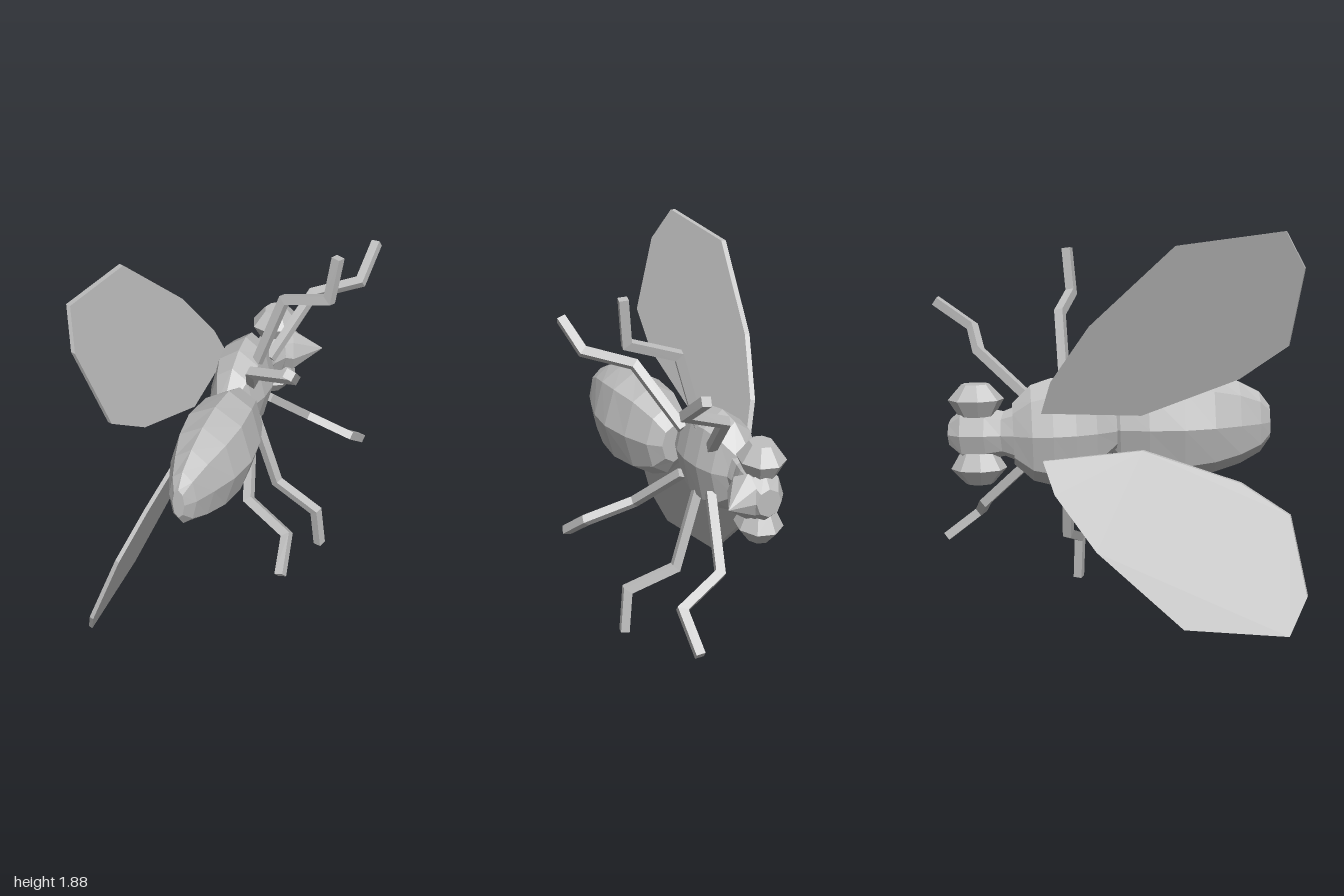
import * as THREE from 'three';

const grey = new THREE.MeshStandardMaterial({ color: 0xbfbfbf });
grey.name = 'grey';

const V = (x, y, z) => new THREE.Vector3(x, y, z);

// Skin a list of rings (arrays of points) with flat facets and closed ends
function loft(rings) {
  const pos = [];
  const tri = (...pts) => pts.forEach((p) => pos.push(p.x, p.y, p.z));
  const middle = (r) => r.reduce((s, p) => s.add(p), V(0, 0, 0)).divideScalar(r.length);
  const n = rings[0].length;
  const first = rings[0], last = rings[rings.length - 1];
  const c0 = middle(first), c1 = middle(last);
  for (let j = 0; j < n; j++) {
    const k = (j + 1) % n;
    for (let i = 0; i < rings.length - 1; i++) {
      const a = rings[i], b = rings[i + 1];
      tri(a[j], a[k], b[k]);
      tri(a[j], b[k], b[j]);
    }
    tri(c0, first[k], first[j]);
    tri(c1, last[j], last[k]);
  }
  const geo = new THREE.BufferGeometry();
  geo.setAttribute('position', new THREE.Float32BufferAttribute(pos, 3));
  geo.computeVertexNormals();
  return geo;
}

// Eight-sided body segment: profile rows are [distance, thickness radius, width radius]
function bodySegment(start, tilt, profile) {
  const along = V(Math.cos(tilt), 0, -Math.sin(tilt));
  const up = V(Math.sin(tilt), 0, Math.cos(tilt));
  return loft(profile.map(([s, thick, wide]) => {
    const ring = [];
    for (let j = 0; j < 8; j++) {
      const a = (j / 8) * Math.PI * 2;
      ring.push(start.clone().addScaledVector(along, s)
        .addScaledVector(up, thick * Math.sin(a))
        .add(V(0, wide * Math.cos(a), 0)));
    }
    return ring;
  }));
}

// Square-section leg along bent joints, mitred at each joint
function legGeometry(points, half) {
  const end = points.length - 1;
  const ref = points[end].clone().sub(points[0]).cross(V(0, 0, 1)).normalize();
  const dir = (i) => points[i + 1].clone().sub(points[i]).normalize();
  return loft(points.map((p, i) => {
    const before = dir(Math.max(i - 1, 0));
    const after = dir(Math.min(i, end - 1));
    const t = before.clone().add(after).normalize();
    const side = ref.clone().cross(t).normalize().multiplyScalar(half / t.dot(after));
    const across = t.clone().cross(side).normalize().multiplyScalar(half);
    return [[1, 1], [-1, 1], [-1, -1], [1, -1]].map(([a, b]) =>
      p.clone().addScaledVector(side, a).addScaledVector(across, b));
  }));
}

// Thin wing: flat outline sheared onto a slanting plane
function wingGeometry(side) {
  const outline = [[0.255, 0.115], [0.19, 0.27], [-0.017, 0.533], [-0.43, 0.89], [-0.9, 0.94],
    [-0.97, 0.77], [-0.875, 0.405], [-0.643, 0.25], [-0.19, 0.085]];
  const shape = new THREE.Shape(outline.map(([x, y]) => new THREE.Vector2(x, y * side)));
  const geo = new THREE.ExtrudeGeometry(shape, { depth: 0.024, bevelEnabled: false });
  const p = geo.attributes.position;
  for (let i = 0; i < p.count; i++) {
    const slope = -0.357 * (p.getX(i) + 0.9) - 0.374 * (p.getY(i) * side - 0.94);
    p.setZ(i, p.getZ(i) - 0.302 + slope);
  }
  geo.computeVertexNormals();
  return geo;
}

export function createModel() {
  const model = new THREE.Group();
  model.name = 'fly';
  const body = new THREE.Group();
  body.name = 'flyBody';
  body.position.y = 0.908;
  body.rotation.z = -0.032;
  model.add(body);

  const add = (name, geo) => {
    const mesh = new THREE.Mesh(geo, grey);
    mesh.name = name;
    body.add(mesh);
    return mesh;
  };

  // Abdomen, thorax and head
  add('abdomen', bodySegment(V(-0.73, 0, 0.17), 0.318, [
    [0, 0.03, 0.08], [0.05, 0.07, 0.15], [0.15, 0.115, 0.205], [0.28, 0.165, 0.245],
    [0.43, 0.19, 0.265], [0.6, 0.17, 0.25], [0.74, 0.125, 0.185], [0.8, 0.07, 0.1]]));
  add('thorax', bodySegment(V(-0.035, 0, -0.145), 0.375, [
    [0, 0.06, 0.09], [0.1, 0.115, 0.2], [0.2, 0.145, 0.25], [0.31, 0.152, 0.265],
    [0.41, 0.135, 0.235], [0.5, 0.08, 0.15]]));
  add('head', bodySegment(V(0.38, 0, -0.31), 0.1, [
    [0, 0.09, 0.15], [0.1, 0.075, 0.11], [0.18, 0.095, 0.125], [0.3, 0.1, 0.13],
    [0.37, 0.06, 0.07]]));

  // Pointed snout aimed forwards and down
  add('snout', bodySegment(V(0.64, 0, -0.29), -0.806, [
    [-0.05, 0.08, 0.09], [0.03, 0.105, 0.115], [0.195, 0.002, 0.002]]));

  // Leg joints for the upper side; the other side is mirrored
  const legs = {
    frontLeg: [[0.36, 0.12, -0.18], [0.668, 0.385, -0.15], [0.785, 0.484, 0.06], [0.967, 0.622, 0.02]],
    middleLeg: [[0.215, 0.15, -0.16], [0.272, 0.562, -0.035], [0.295, 0.645, 0.215], [0.317, 0.868, 0.235]],
    rearLeg: [[0.12, 0.12, -0.1], [-0.122, 0.38, 0.09], [-0.13, 0.465, 0.345], [-0.275, 0.59, 0.425]],
  };

  for (const [label, side] of [['Upper', 1], ['Lower', -1]]) {
    add('wing' + label, wingGeometry(side));

    // Faceted eye: two stacked rings with a flat outer cap
    const eye = new THREE.Group();
    eye.name = 'eye' + label;
    eye.position.set(0.61, 0.17 * side, -0.345);
    eye.scale.set(1, 1, 0.82);
    eye.rotation.x = side > 0 ? 0 : Math.PI;
    for (const [name, top, bottom, h, y] of [
      ['eyeOuter', 0.07, 0.14, 0.075, 0.0375], ['eyeInner', 0.14, 0.09, 0.08, -0.04]]) {
      const ring = new THREE.CylinderGeometry(top, bottom, h, 8).toNonIndexed();
      ring.rotateY(Math.PI / 8);
      ring.computeVertexNormals();
      const mesh = new THREE.Mesh(ring, grey);
      mesh.name = name;
      mesh.position.y = y;
      eye.add(mesh);
    }
    body.add(eye);

    for (const [name, joints] of Object.entries(legs)) {
      add(name + label, legGeometry(joints.map(([x, y, z]) => V(x, y * side, z)), 0.022));
    }
  }
  return model;
}
